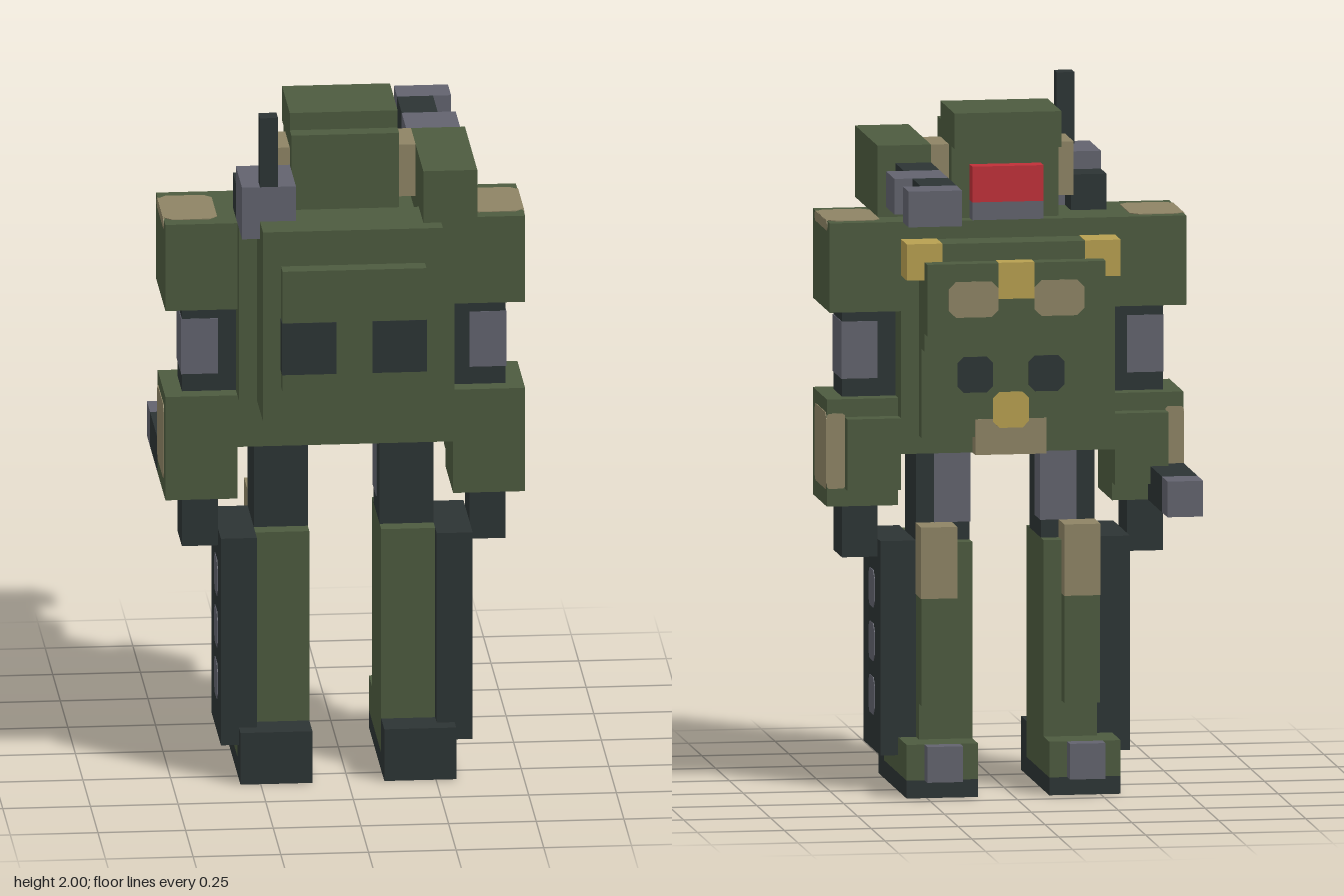
import * as THREE from 'three';

const U = 2 / 39; // one grid unit
const colour = (name, hex) => {
  const m = new THREE.MeshStandardMaterial({ color: hex });
  m.name = name;
  return m;
};

export function createModel() {
  const green = colour('army green', 0x4d5b3f);
  const dark = colour('gunmetal', 0x2c3434);
  const grey = colour('steel grey', 0x62636e);
  const tan = colour('tan', 0x8e8465);
  const yellow = colour('yellow', 0xb8a050);
  const red = colour('visor red', 0xc03038);
  const root = new THREE.Group();
  root.name = 'mech';

  const part = (name) => {
    const g = new THREE.Group();
    g.name = name;
    root.add(g);
    return g;
  };

  // Box between two corners, in grid units; s mirrors it across x
  const box = (parent, name, mat, [x0, x1], [y0, y1], [z0, z1], s = 1) => {
    const mesh = new THREE.Mesh(new THREE.BoxGeometry((x1 - x0) * U, (y1 - y0) * U, (z1 - z0) * U), mat);
    mesh.position.set((s * (x0 + x1) * U) / 2, ((y0 + y1) * U) / 2, ((z0 + z1) * U) / 2);
    mesh.name = name;
    parent.add(mesh);
    return mesh;
  };

  // Thin painted plate with cut corners, centred on a face that looks along the axis
  const patch = (parent, name, mat, axis, [x, y, z], w, h, cut = 0.35) => {
    const a = w / 2, b = h / 2, c = cut;
    const shape = new THREE.Shape([
      [-a + c, -b], [a - c, -b], [a, -b + c], [a, b - c],
      [a - c, b], [-a + c, b], [-a, b - c], [-a, -b + c],
    ].map(([px, py]) => new THREE.Vector2(px * U, py * U)));
    const geo = new THREE.ExtrudeGeometry(shape, { depth: 0.08 * U, bevelEnabled: false });
    geo.translate(0, 0, -0.04 * U);
    if (axis === 'x') geo.rotateY(Math.PI / 2);
    if (axis === 'y') geo.rotateX(-Math.PI / 2);
    const mesh = new THREE.Mesh(geo, mat);
    mesh.position.set(x * U, y * U, z * U);
    mesh.name = name;
    parent.add(mesh);
  };

  // Torso
  const torso = part('torso');
  box(torso, 'torsoCore', green, [-6, 6], [22, 32], [-1.5, 5.5]);
  box(torso, 'pelvis', green, [-6, 6], [19, 22], [-1.5, 4.5]);
  box(torso, 'chest', green, [-5, 5], [25, 31], [-3.5, -1.5]);
  box(torso, 'chestPlate', green, [-5, 5], [26, 30], [-4.5, -3.5]);
  box(torso, 'chestBadge', yellow, [-1, 1], [28, 30.03], [-4.53, -3.5]);
  box(torso, 'abdomen', green, [-5, 5], [20, 25], [-2.5, -1.5]);
  box(torso, 'groinGuard', tan, [-2, 2], [19, 21], [-2.53, -1.5]);
  patch(torso, 'buckle', yellow, 'z', [0, 21.5, -2.55], 2, 2);
  for (const s of [1, -1]) {
    box(torso, 'chestLamp', yellow, [4, 6], [29, 31.03], [-3.53, -1.5], s);
    patch(torso, 'chestPatch', tan, 'z', [s * 2.4, 28, -4.5], 2.8, 2, 0.4);
    patch(torso, 'abdomenVent', dark, 'z', [s * 2, 23.5, -2.5], 2, 2);
  }

  // Backpack
  const pack = part('backpack');
  box(pack, 'packBody', green, [-5, 5], [22, 33], [5.5, 9.5]);
  box(pack, 'packPlate', green, [-4, 4], [24, 31], [9.5, 10.5]);
  for (const s of [1, -1]) box(pack, 'packVent', dark, [1, 4.03], [25, 28], [9.5, 10.53], s);

  // Head
  const head = part('head');
  box(head, 'skull', green, [-3, 3], [32, 37], [-0.5, 4.5]);
  box(head, 'helmetCrown', green, [-3, 3], [36, 38], [-1.5, 3.5]);
  box(head, 'visor', red, [-2, 2], [33, 35], [-1.5, -0.5]);
  box(head, 'chin', grey, [-2, 2], [32, 33], [-1.5, -0.5]);
  for (const s of [1, -1]) box(head, 'earGuard', tan, [3, 4], [33, 36], [0.5, 3.5], s);

  // Shoulder cannon
  const cannon = part('shoulderCannon');
  box(cannon, 'cannonHousing', green, [4, 7], [32, 36], [0.5, 8.5]);
  box(cannon, 'barrelRear', dark, [4, 6], [33, 35], [-2.5, 0.5]);
  box(cannon, 'barrelCollar', grey, [4, 7], [33, 35], [-5.5, -2.5]);
  box(cannon, 'barrelFront', dark, [4, 6], [33, 35], [-8.5, -5.5]);
  box(cannon, 'muzzle', grey, [4, 7], [33, 35], [-10.5, -8.5]);

  // Sensor unit with antenna
  const sensor = part('sensorUnit');
  box(sensor, 'sensorBody', grey, [-6, -3], [32, 35], [3.5, 7.5]);
  box(sensor, 'sensorLens', dark, [-6, -4], [32, 34], [1.5, 3.5]);
  box(sensor, 'antenna', dark, [-5, -4], [35, 39], [6.5, 7.5]);

  for (const s of [1, -1]) {
    const side = s > 0 ? 'left' : 'right';

    // Arm
    const arm = part(side + 'Arm');
    box(arm, 'shoulder', green, [6, 10], [27, 32], [-1.5, 4.5], s);
    patch(arm, 'shoulderTopPatch', tan, 'y', [s * 8.52, 32, 1.45], 3.0, 4.4, 0.45);
    patch(arm, 'shoulderSidePatch', tan, 'x', [s * 10, 31.75, 1.45], 4.4, 0.55, 0.2);
    box(arm, 'upperArm', dark, [6, 9], [22, 27], [0.5, 3.5], s);
    box(arm, 'elbowSleeve', grey, [7, 9.04], [23, 26.2], [0.46, 3.54], s);
    box(arm, 'forearm', green, [6, 10], [16, 22], [-0.5, 4.5], s);
    box(arm, 'forearmGuard', green, [6, 9], [17, 21], [-1.5, -0.5], s);
    patch(arm, 'forearmPatch', tan, 'x', [s * 10, 19.1, 1.6], 4.2, 4.3);
    patch(arm, 'forearmFrontPatch', tan, 'z', [s * 9.5, 19.1, -0.5], 1, 4.2, 0.1);
    box(arm, 'hand', dark, [7, 9], [13, 16], [0.5, 3.5], s);

    // Leg
    const leg = part(side + 'Leg');
    box(leg, 'thigh', dark, [2, 5], [14, 19], [-0.5, 3.5], s);
    box(leg, 'thighPlate', grey, [1.96, 4], [15, 19], [-0.54, 1.5], s);
    box(leg, 'shin', green, [2, 5], [3, 14], [-1.5, 4.5], s);
    box(leg, 'shinGuard', green, [3, 5], [5, 11], [-2.5, -1.5], s);
    box(leg, 'kneeGuard', tan, [3, 5.03], [11, 15], [-2.5, -0.5], s);
    box(leg, 'sidePanel', dark, [5, 7], [2, 14], [-0.5, 5.5], s);
    for (const y of [5, 8, 11]) patch(leg, 'panelPort', grey, 'x', [s * 7, y, 2.5], 2.1, 2.1, 0.4);

    // Foot
    const foot = part(side + 'Foot');
    box(foot, 'sole', dark, [2, 6], [0, 1], [-3.5, 6.5], s);
    box(foot, 'heel', dark, [2, 6], [1, 3], [4.5, 6.5], s);
    box(foot, 'footTop', green, [2, 6], [1, 3], [-3.5, 4.5], s);
    box(foot, 'toe', grey, [3, 5], [1, 3], [-4.5, -3.5], s);
  }

  // Forearm gun
  const gun = part('forearmGun');
  box(gun, 'gunBarrel', dark, [-10, -8], [16, 18], [-5.5, -0.55]);
  box(gun, 'gunMuzzle', grey, [-10, -8], [16, 18], [-7.5, -5.5]);

  return root;
}
